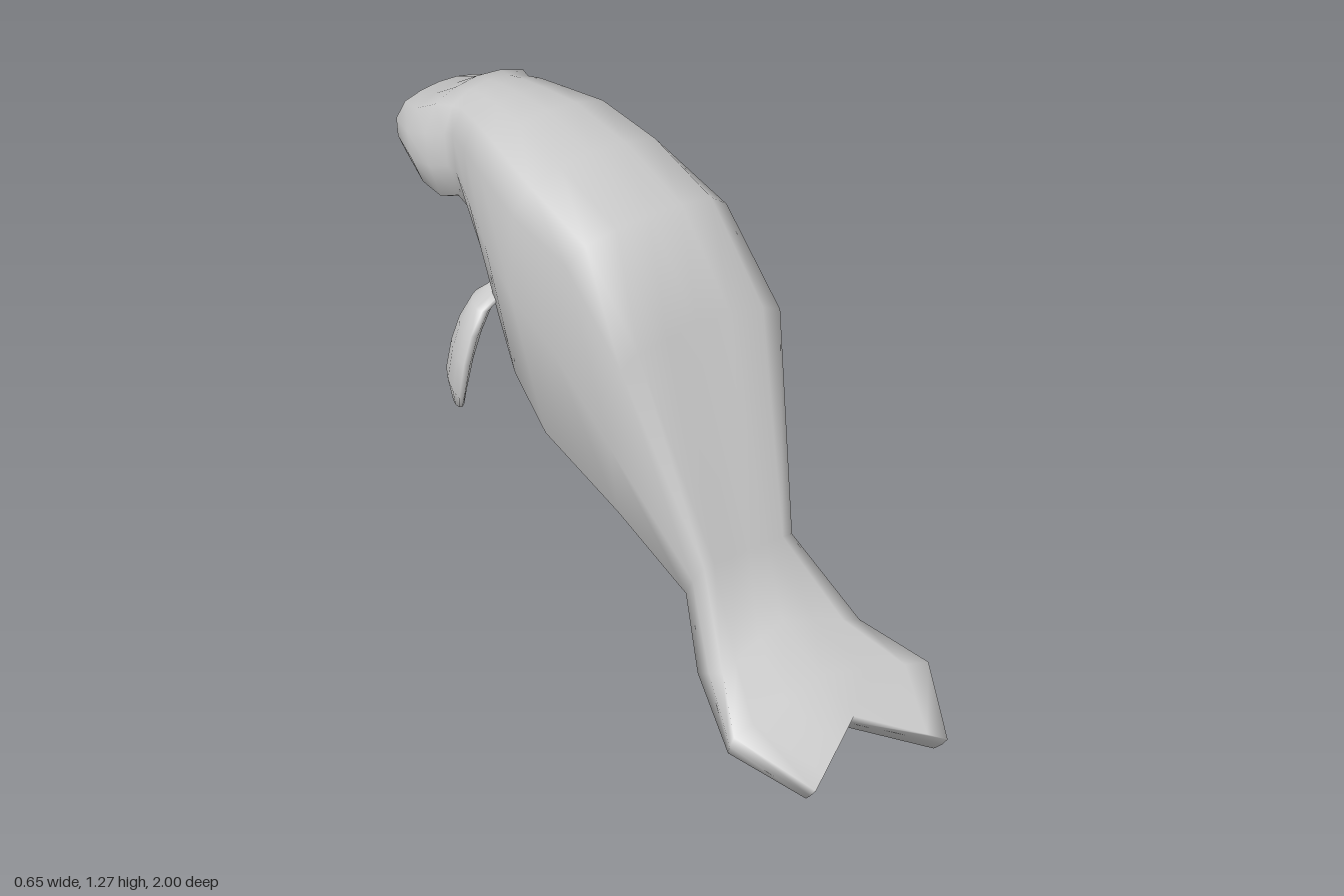
import * as THREE from 'three';

const material = new THREE.MeshStandardMaterial({ color: 0xcccccc });

// Skin a list of closed rings (clockwise seen from the first ring's end) and cap both ends
function loft(name, rings, capCentre) {
  const n = rings[0].length, last = rings.length - 1, index = [];
  const points = rings.flat();
  for (let r = 0; r < last; r++) {
    for (let i = 0; i < n; i++) {
      const a = r * n + i, b = r * n + (i + 1) % n;
      index.push(a, b, b + n, a, b + n, a + n);
    }
  }
  points.push(capCentre(rings[0]), capCentre(rings[last]));
  for (let i = 0; i < n; i++) {
    const j = (i + 1) % n, c = points.length - 2;
    index.push(c, j, i, c + 1, last * n + i, last * n + j);
  }
  const geometry = new THREE.BufferGeometry().setFromPoints(points);
  geometry.setIndex(index);
  geometry.computeVertexNormals();
  const mesh = new THREE.Mesh(geometry, material);
  mesh.name = name;
  return mesh;
}

// Half cross-section from top to bottom: [share of half width, share of height].
// edge is the height of the shoulder, belly the width of the lower corner, lift its height
const section = (edge, belly, lift) => [
  [0, 1], [0.4, 1 - (1 - edge) * 0.08], [0.78, 1 - (1 - edge) * 0.32], [1, edge],
  [1, (edge + lift) / 2], [belly, lift], [belly * 0.55, lift * 0.15], [0, 0],
];
const fluke = section(0.98, 0.97, 0);
const head = section(0.68, 0.86, 0.09);

// Tail to nose: section, top z, top y, bottom z, bottom y, half width, sweep of z and y with |x|
const stations = [
  [fluke, 0.875, 0.14, 0.825, 0.083, 0.207, 0.6, -0.4],
  [fluke, 0.73, 0.19, 0.69, 0.115, 0.305, 0.15, -0.17],
  [fluke, 0.56, 0.265, 0.44, 0.195, 0.215, 0.18, -0.27],
  [section(0.97, 0.9, 0.06), 0.41, 0.40, 0.30, 0.25, 0.138],
  [section(0.93, 0.72, 0.06), 0.18, 0.97, 0.06, 0.375, 0.25, 0.1],
  [section(0.9, 0.92, 0.06), -0.03, 1.19, -0.17, 0.50, 0.253],
  [section(0.84, 0.92, 0.07), -0.28, 1.25, -0.30, 0.605, 0.251],
  [section(0.82, 0.88, 0.08), -0.48, 1.27, -0.42, 0.70, 0.22],
  [section(0.77, 0.85, 0.08), -0.61, 1.255, -0.55, 0.82, 0.18],
  [section(0.72, 0.85, 0.08), -0.69, 1.24, -0.64, 0.915, 0.16],
  [head, -0.74, 1.225, -0.685, 0.92, 0.153],
  [head, -0.79, 1.21, -0.73, 0.90, 0.178],
  [head, -0.88, 1.14, -0.82, 0.90, 0.17],
  [head, -0.96, 1.10, -0.935, 0.93, 0.14],
  [head, -1.0, 1.06, -0.975, 0.96, 0.08],
];

function createBody() {
  const rings = stations.map(([profile, tz, ty, bz, by, w, sz = 0, sy = 0]) => {
    const half = profile.map(([u, v]) => new THREE.Vector3(
      u * w,
      by + (ty - by) * v + sy * u * w,
      bz + (tz - bz) * v + sz * u * w));
    const mirrored = half.slice(1, -1).reverse().map((p) => new THREE.Vector3(-p.x, p.y, p.z));
    return [...half, ...mirrored];
  });
  // Middle of the top and bottom centre points, so the tail notch stays a clean V
  const body = loft('body', rings, (ring) => ring[0].clone().lerp(ring[7], 0.5));
  body.position.x = -0.013;
  return body;
}

// Root to tip: centre x, y, z, half chord, half thickness
const flipperStations = [
  [0.185, 0.795, -0.465, 0.042, 0.02],
  [0.228, 0.775, -0.468, 0.055, 0.025],
  [0.255, 0.71, -0.48, 0.068, 0.028],
  [0.27, 0.63, -0.495, 0.084, 0.026],
  [0.276, 0.53, -0.513, 0.097, 0.022],
  [0.262, 0.455, -0.523, 0.038, 0.014],
];

function createFlipper(name, side) {
  const rings = flipperStations.map(([x, y, z, chord, thick]) =>
    Array.from({ length: 10 }, (_, i) => {
      const t = i / 10 * Math.PI * 2;
      const c = chord * Math.sin(t), d = thick * Math.cos(t);
      return new THREE.Vector3(x + 0.45 * c + 0.89 * d, y, z + 0.89 * c - 0.45 * d);
    }));
  const flipper = loft(name, rings, (ring) =>
    ring.reduce((sum, p) => sum.add(p), new THREE.Vector3()).divideScalar(ring.length));
  flipper.scale.x = side;
  return flipper;
}

export function createModel() {
  const model = new THREE.Group();
  model.name = 'manatee';
  model.add(createBody(), createFlipper('leftFlipper', 1), createFlipper('rightFlipper', -1));
  return model;
}
